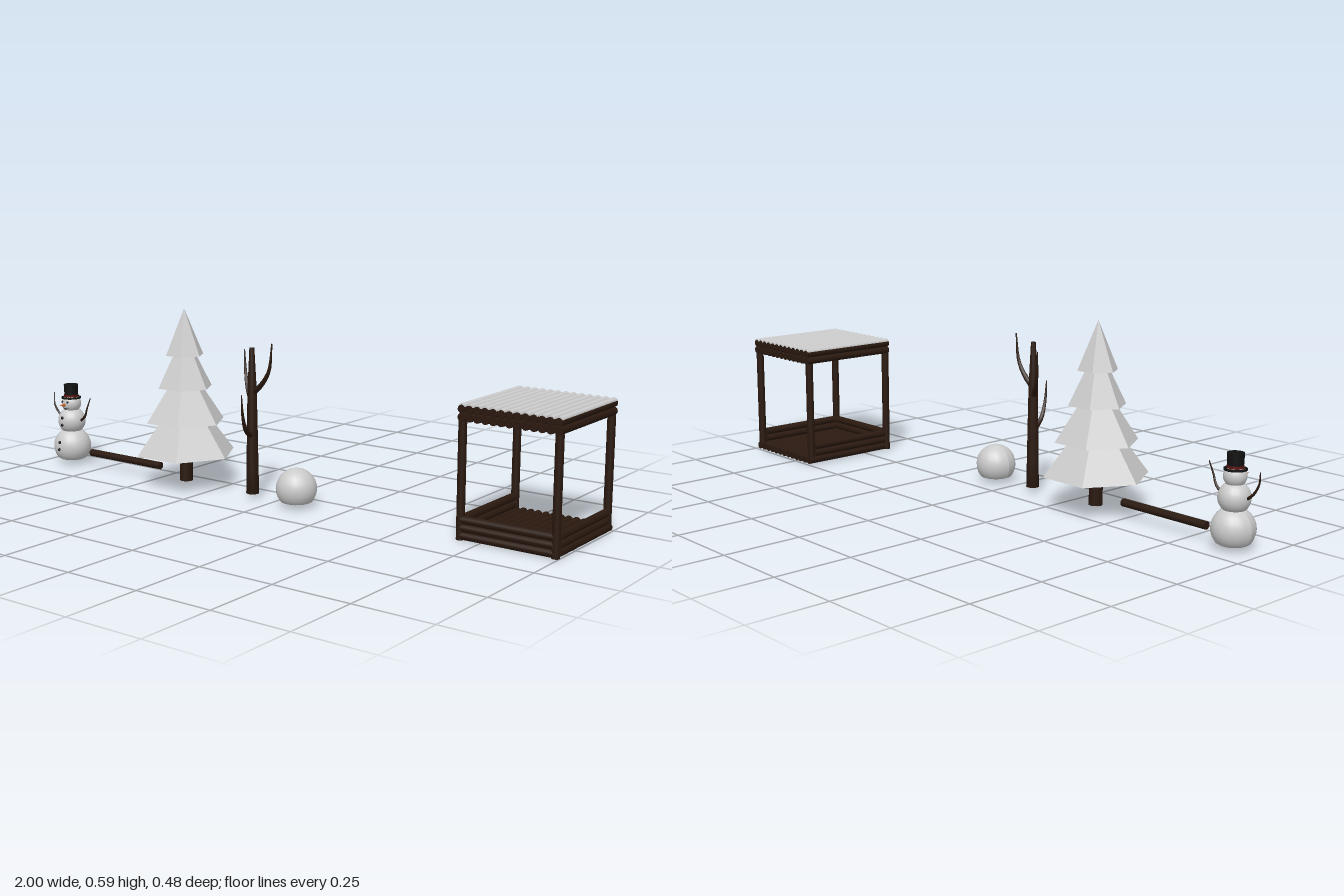
import * as THREE from 'three';

const mat = (color, flat = false) => new THREE.MeshStandardMaterial({ color, flatShading: flat });
const SNOW = mat(0xcccccc), FACET = mat(0xcccccc, true), WOOD = mat(0x2a190f);
const COAL = mat(0x111111), CARROT = mat(0xc8642a), BAND = mat(0x5a1512);
const V = (x, y, z) => new THREE.Vector3(x, y, z);
const ROW = 0.097; // z of the row of free-standing pieces

function add(parent, name, geometry, material, x = 0, y = 0, z = 0) {
  const mesh = new THREE.Mesh(geometry, material);
  mesh.name = name;
  mesh.position.set(x, y, z);
  parent.add(mesh);
  return mesh;
}

function group(parent, name, x = 0, y = 0, z = 0) {
  const g = new THREE.Group();
  g.name = name;
  g.position.set(x, y, z);
  parent.add(g);
  return g;
}

// Straight round log between two points
function log(parent, name, a, b, r, material = WOOD) {
  const dir = b.clone().sub(a);
  const mesh = add(parent, name, new THREE.CylinderGeometry(r, r, dir.length(), 12), material);
  mesh.position.copy(a).add(b).multiplyScalar(0.5);
  mesh.quaternion.setFromUnitVectors(V(0, 1, 0), dir.normalize());
  return mesh;
}

// Curved twig that tapers from r0 to r1
function twig(parent, name, points, r0, r1) {
  const curve = new THREE.CatmullRomCurve3(points), n = 10, sides = 6;
  const geo = new THREE.TubeGeometry(curve, n, r0, sides);
  const pos = geo.attributes.position, p = V(0, 0, 0);
  for (let i = 0; i < pos.count; i++) {
    const t = Math.floor(i / (sides + 1)) / n;
    const c = curve.getPointAt(t);
    p.fromBufferAttribute(pos, i).sub(c).multiplyScalar(1 + (r1 / r0 - 1) * t).add(c);
    pos.setXYZ(i, p.x, p.y, p.z);
  }
  geo.computeVertexNormals();
  return add(parent, name, geo, WOOD);
}

// Snowball flattened where it rests on the ground
function settledBall(parent, name, r, y) {
  const geo = new THREE.SphereGeometry(r, 18, 14), pos = geo.attributes.position;
  for (let i = 0; i < pos.count; i++) pos.setY(i, Math.max(pos.getY(i), 0.014 - y));
  geo.computeVertexNormals();
  return add(parent, name, geo, SNOW, 0, y, 0);
}

function buildSnowman(root) {
  const g = group(root, 'snowman', -0.905, 0, ROW);
  settledBall(g, 'lowerBody', 0.065, 0.06);
  add(g, 'upperBody', new THREE.SphereGeometry(0.048, 18, 14), SNOW, 0, 0.15, 0);
  add(g, 'head', new THREE.SphereGeometry(0.034, 18, 14), SNOW, 0, 0.212, 0);
  // Top hat
  add(g, 'hatBrim', new THREE.CylinderGeometry(0.034, 0.034, 0.005, 18), COAL, 0, 0.232, 0);
  add(g, 'hatBand', new THREE.CylinderGeometry(0.0247, 0.0247, 0.009, 18), BAND, 0, 0.239, 0);
  add(g, 'hatCrown', new THREE.CylinderGeometry(0.025, 0.023, 0.046, 18), COAL, 0, 0.256, 0);
  // Face
  const nose = add(g, 'nose', new THREE.ConeGeometry(0.006, 0.03, 8), CARROT, 0, 0.21, 0.046);
  nose.rotation.x = Math.PI / 2;
  for (const s of [-1, 1]) {
    add(g, 'eye', new THREE.SphereGeometry(0.004, 8, 6), COAL, s * 0.012, 0.22, 0.031);
    twig(g, 'arm', [V(s * 0.04, 0.15, 0), V(s * 0.066, 0.172, 0), V(s * 0.08, 0.2, 0.004), V(s * 0.09, 0.24, -0.005)], 0.005, 0.0015);
  }
  for (let i = -2; i <= 2; i++) {
    add(g, 'mouth', new THREE.SphereGeometry(0.0025, 6, 5), COAL, i * 0.006, 0.195 + 0.0012 * i * i, 0.03 - 0.0008 * i * i);
  }
  // Coat buttons
  for (const [y, z] of [[0.165, 0.046], [0.14, 0.047], [0.08, 0.062], [0.055, 0.065]]) {
    add(g, 'button', new THREE.SphereGeometry(0.005, 8, 6), COAL, 0, y, z);
  }
}

function buildFir(root) {
  const g = group(root, 'firTree', -0.37, 0, ROW);
  add(g, 'firTrunk', new THREE.CylinderGeometry(0.022, 0.022, 0.13, 12), WOOD, 0, 0.08, 0);
  // Six-sided snowy tiers: base height, radius, apex height
  for (const [y, r, top] of [[0.11, 0.168, 0.335], [0.217, 0.133, 0.42], [0.33, 0.092, 0.515], [0.437, 0.064, 0.59]]) {
    add(g, 'firTier', new THREE.ConeGeometry(r, top - y, 6, 1, false, Math.PI / 6), FACET, 0, (y + top) / 2, 0);
  }
}

function buildBareTree(root) {
  const g = group(root, 'bareTree', -0.088, 0, ROW);
  const profile = [[0, 0.015], [0.021, 0.015], [0.0195, 0.1], [0.0175, 0.22], [0.015, 0.35], [0.008, 0.487], [0, 0.488]];
  add(g, 'bareTrunk', new THREE.LatheGeometry(profile.map(([x, y]) => new THREE.Vector2(x, y)), 12), WOOD);
  twig(g, 'branch', [V(0, 0.31, 0), V(-0.035, 0.35, -0.022), V(-0.058, 0.395, -0.04), V(-0.068, 0.47, -0.047)], 0.01, 0.002);
  twig(g, 'branch', [V(0, 0.34, 0), V(0.04, 0.375, 0), V(0.068, 0.42, 0), V(0.08, 0.507, 0)], 0.01, 0.002);
  twig(g, 'branch', [V(0, 0.2, 0), V(0.01, 0.23, 0.045), V(0.018, 0.28, 0.07), V(0.022, 0.35, 0.081)], 0.01, 0.002);
}

function buildShelter(root) {
  const g = group(root, 'logShelter', 0.835, 0, 0);
  const R = 0.0125, half = 0.1525, front = 0.099, back = -0.2285, count = 13;
  // Corner posts
  for (const s of [-1, 1]) {
    log(g, 'frontPost', V(s * half, 0, front), V(s * half, 0.352, front), R);
    log(g, 'backPost', V(s * half, 0.022, back), V(s * half, 0.352, back), R);
    // Low side walls
    for (const y of [0.036, 0.06]) log(g, 'sideRail', V(s * half, y, front - R), V(s * half, y, back + R), R);
  }
  // Low front wall
  for (const y of [0.0125, 0.036, 0.06]) log(g, 'frontRail', V(-half, y, front), V(half, y, front), R);
  // Floor and double-layer roof with a strip of snow on each log
  for (let i = 0; i < count; i++) {
    const x = -half + (2 * half * i) / (count - 1);
    log(g, 'floorLog', V(x, 0.0125, front - R), V(x, 0.0125, -0.241), R);
    log(g, 'roofLogLower', V(x, 0.3625, 0.109), V(x, 0.3625, -0.241), R);
    log(g, 'roofLogUpper', V(x, 0.3865, 0.109), V(x, 0.3865, -0.241), R);
    log(g, 'roofSnow', V(x, 0.3925, 0.1085), V(x, 0.3925, -0.2405), 0.0105, SNOW);
  }
}

export function createModel() {
  const root = new THREE.Group();
  root.name = 'winterSet';
  buildSnowman(root);
  log(root, 'looseLog', V(-0.81, 0.046, ROW), V(-0.485, 0.046, ROW), 0.0125);
  buildFir(root);
  buildBareTree(root);
  settledBall(group(root, 'snowballGroup', 0.088, 0, ROW), 'snowball', 0.065, 0.058);
  buildShelter(root);
  return root;
}
